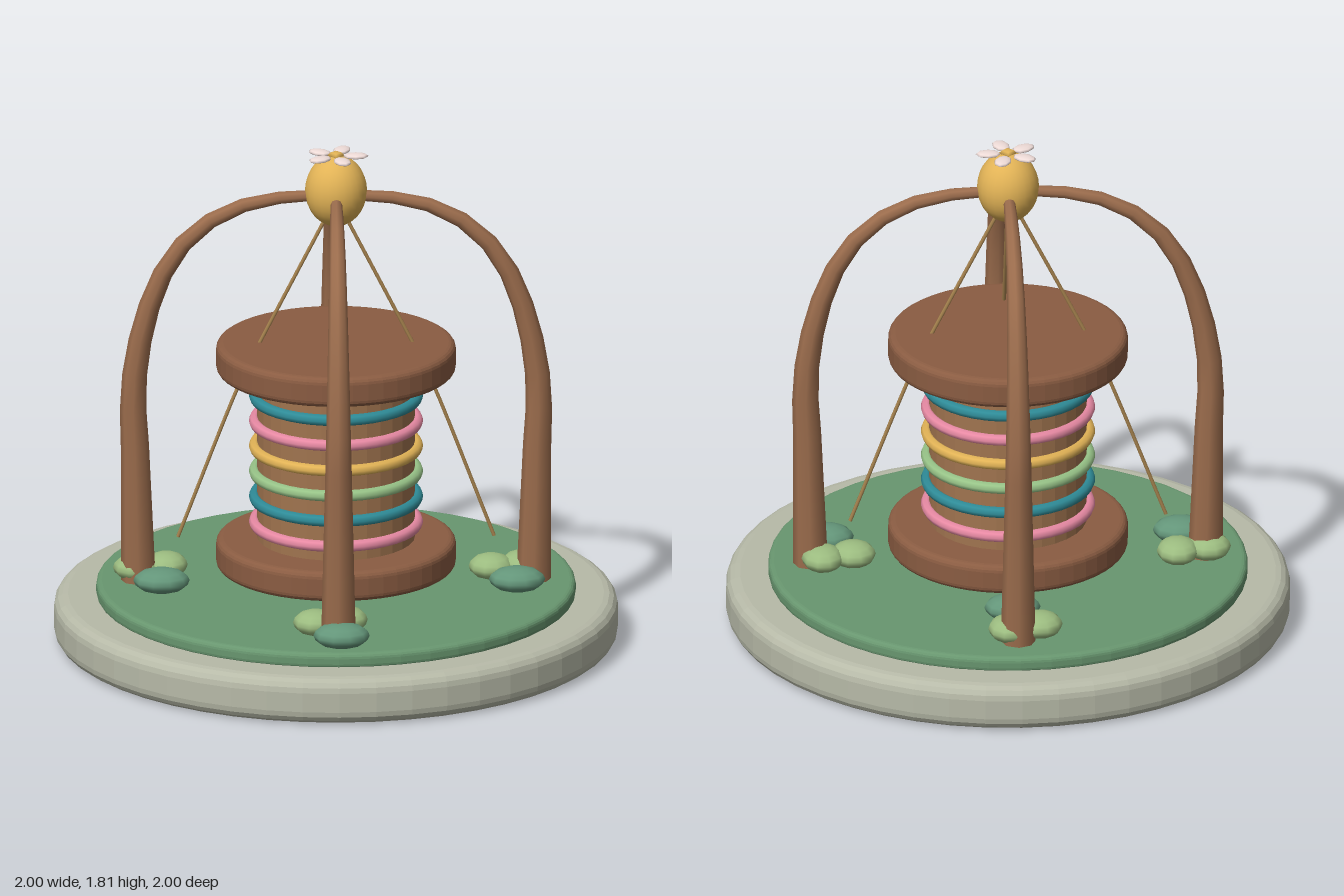
import * as THREE from 'three';

const mat = (color, flat = false) =>
  new THREE.MeshStandardMaterial({ color, flatShading: flat });

const BROWN = mat(0x9c6d4d), FLANGE = mat(0x8a5c42, true), CORE = mat(0xa0744f, true);
const STONE = mat(0xb7baa8, true), MOSS = mat(0x68966f, true);
const DARK = mat(0x64967a), LIGHT = mat(0x9cbc80);
const TEAL = mat(0x2f8c98), PINK = mat(0xe88aa4), GOLD = mat(0xe2b356), GREEN = mat(0x98c488);
const STRING = mat(0xa8844f), PETAL = mat(0xefdcd8);

function add(parent, name, geometry, material, x = 0, y = 0, z = 0) {
  const mesh = new THREE.Mesh(geometry, material);
  mesh.name = name;
  mesh.position.set(x, y, z);
  parent.add(mesh);
  return mesh;
}

// Solid disc with rounded rims, standing on y0
function roundedDisc(radius, y0, y1, bevel) {
  const pts = [new THREE.Vector2(0, y0)];
  const steps = 4;
  for (const [cy, start] of [[y0 + bevel, -Math.PI / 2], [y1 - bevel, 0]]) {
    for (let i = 0; i <= steps; i++) {
      const a = start + (i / steps) * Math.PI / 2;
      pts.push(new THREE.Vector2(radius - bevel + Math.cos(a) * bevel, cy + Math.sin(a) * bevel));
    }
  }
  pts.push(new THREE.Vector2(0, y1));
  return new THREE.LatheGeometry(pts, 48);
}

// Tube along a curve, its radius changing evenly from r0 to r1
function taperedTube(curve, segments, sides, r0, r1) {
  const geo = new THREE.TubeGeometry(curve, segments, 1, sides, false);
  const pos = geo.attributes.position;
  const p = new THREE.Vector3();
  for (let i = 0; i < pos.count; i++) {
    const u = Math.floor(i / (sides + 1)) / segments;
    const c = curve.getPointAt(u);
    p.fromBufferAttribute(pos, i).sub(c).multiplyScalar(r0 + (r1 - r0) * u).add(c);
    pos.setXYZ(i, p.x, p.y, p.z);
  }
  return geo;
}

const curveXY = (list) =>
  new THREE.CatmullRomCurve3(list.map(([x, y]) => new THREE.Vector3(x, y, 0)));

export function createModel() {
  const model = new THREE.Group();
  model.name = 'spoolCarousel';

  // Stone base and mossy ground
  add(model, 'base', roundedDisc(1, 0, 0.17, 0.05), STONE);
  add(model, 'ground', roundedDisc(0.85, 0.16, 0.22, 0.02), MOSS);

  // Floating spool
  const spool = new THREE.Group();
  spool.name = 'spool';
  model.add(spool);
  add(spool, 'lowerFlange', roundedDisc(0.425, 0.27, 0.38, 0.025), FLANGE);
  add(spool, 'upperFlange', roundedDisc(0.425, 0.995, 1.105, 0.025), FLANGE);
  add(spool, 'spoolCore', new THREE.CylinderGeometry(0.28, 0.28, 0.66, 32), CORE, 0, 0.69, 0);

  // Thread rings
  const ringGeo = new THREE.TorusGeometry(0.288, 0.021, 8, 40).rotateX(Math.PI / 2);
  [PINK, TEAL, GREEN, GOLD, PINK, TEAL].forEach((m, i) =>
    add(spool, 'threadRing', ringGeo, m, 0, 0.436 + i * 0.094, 0));

  // Four arched arms, each with a string hanging beneath
  const armGeo = taperedTube(curveXY([
    [0.7, 0.2], [0.712, 0.7], [0.717, 0.95], [0.665, 1.23], [0.575, 1.43],
    [0.45, 1.555], [0.28, 1.63], [0.07, 1.652],
  ]), 14, 8, 0.062, 0.02);
  const stringGeo = new THREE.TubeGeometry(
    curveXY([[0.03, 1.58], [0.262, 1.12], [0.33, 0.98], [0.56, 0.38]]), 12, 0.007, 6, false);
  for (let i = 0; i < 4; i++) {
    const side = new THREE.Group();
    side.name = 'archSide';
    side.rotation.y = i * Math.PI / 2;
    add(side, 'arm', armGeo, BROWN);
    add(side, 'string', stringGeo, STRING);
    model.add(side);
  }

  // Clusters of small bushes at the foot of each arm
  const bushGeo = new THREE.SphereGeometry(1, 10, 8);
  const bushes = [
    [0.01, 0.13, 0.1, 0.08, DARK],
    [0.03, -0.05, 0.075, 0.085, LIGHT],
    [-0.08, -0.02, 0.08, 0.08, LIGHT],
  ];
  for (const [cx, cz] of [[0.63, 0], [-0.63, 0], [0, 0.63], [0, -0.63]]) {
    const cluster = new THREE.Group();
    cluster.name = 'bushCluster';
    cluster.position.set(cx, 0.26, cz);
    for (const [x, z, rx, rz, m] of bushes)
      add(cluster, 'bush', bushGeo, m, x, 0, z).scale.set(rx, 0.045, rz);
    model.add(cluster);
  }

  // Golden finial
  add(model, 'finialBall', new THREE.SphereGeometry(0.11, 24, 16), GOLD, 0, 1.67, 0)
    .scale.y = 1.18;

  // Five-petal flower on top
  const flower = new THREE.Group();
  flower.name = 'flower';
  flower.position.y = 1.798;
  model.add(flower);
  const petalGeo = new THREE.SphereGeometry(1, 8, 6).scale(0.045, 0.01, 0.03).translate(0.07, 0, 0);
  for (let i = 0; i < 5; i++)
    add(flower, 'petal', petalGeo, PETAL).rotation.y = i * Math.PI * 2 / 5;
  add(flower, 'flowerCentre', new THREE.SphereGeometry(0.03, 4, 4), GOLD, 0, 0.003, 0)
    .scale.y = 0.45;

  return model;
}
